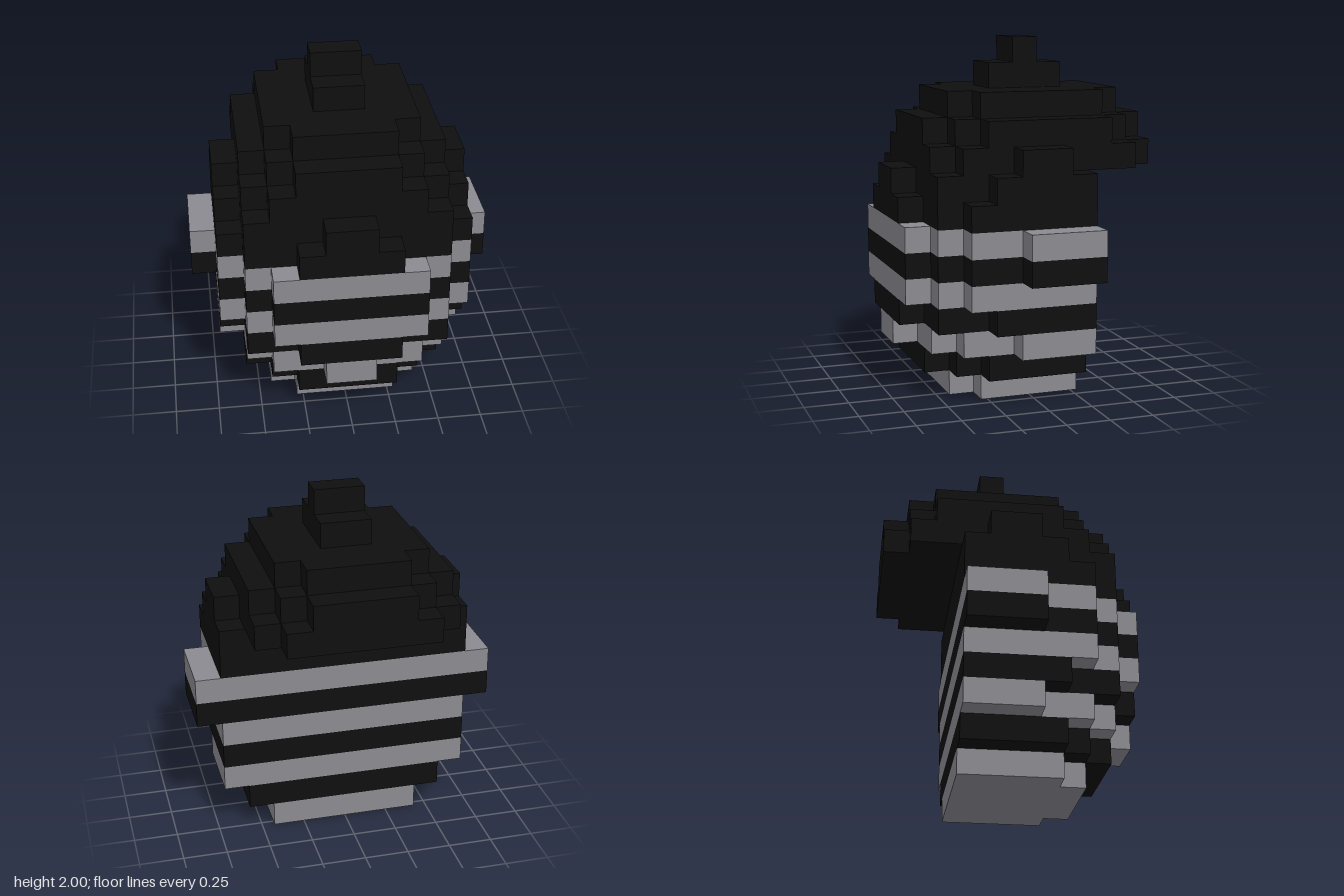
import * as THREE from 'three';

const U = 1 / 7; // edge of one block

const black = new THREE.MeshStandardMaterial({ color: 0x0f0f0f });
black.name = 'black';
const grey = new THREE.MeshStandardMaterial({ color: 0x8a8a90 });
grey.name = 'grey';

// One block-high slab. Steps are [halfWidth, z], widest first,
// going to the front (front) and to the back (back).
function slab(name, level, front, back, material) {
  const half = [];
  back.slice().reverse().forEach(([w, z], i, list) => {
    half.push([w, z]);
    if (i < list.length - 1) half.push([w, list[i + 1][1]]);
  });
  front.forEach(([w, z], i) => {
    if (i > 0) half.push([w, front[i - 1][1]]);
    half.push([w, z]);
  });
  const outline = [...half, ...half.slice().reverse().map(([w, z]) => [-w, z])];
  const shape = new THREE.Shape(outline.map(([x, z]) => new THREE.Vector2(x * U, z * U)));
  const geometry = new THREE.ExtrudeGeometry(shape, { depth: U, bevelEnabled: false });
  geometry.rotateX(Math.PI / 2);
  geometry.translate(0, (level + 1) * U, 0);
  const mesh = new THREE.Mesh(geometry, material);
  mesh.name = name;
  return mesh;
}

export function createModel() {
  const model = new THREE.Group();
  model.name = 'blockHelmet';

  // Striped lower body, flat at the back
  const wide = [[5, 3], [4, 4], [3, 5]];
  const body = [
    [[3, 2], [2, 3]],
    [[4, 2], [3, 3], [2, 4]],
    [[5, 1], [4, 3], [3, 4], [1, 5]],
    [[5, 2], [4, 4], [2, 5]],
    wide, wide, wide,
  ];
  body.forEach((front, i) => {
    model.add(slab('bodyStripe' + i, i, front, [[front[0][0], -2]], i % 2 ? black : grey));
  });

  // Black dome with an overhang at the back
  const dome = [
    [[[5, 3], [4, 4], [2, 5]], [[5, -2]]],
    [[[5, 2], [4, 4], [1, 5]], [[5, -2]]],
    [[[5, 1], [4, 3], [3, 4]], [[5, -1], [4, -4], [3, -5]]],
    [[[4, 2], [3, 3], [2, 4]], [[4, -3], [3, -4], [2, -5]]],
    [[[3, 2], [2, 3]], [[3, -3], [2, -4]]],
    [[[1, 1]], [[1, -2]]],
    [[[1, 0]], [[1, -1]]],
  ];
  dome.forEach(([front, back], i) => {
    model.add(slab(i < 5 ? 'domeLayer' + i : 'topKnob' + (i - 5), 7 + i, front, back, black));
  });

  // Side lugs, grey above black
  for (const side of [-1, 1]) {
    for (const [level, material] of [[5, black], [6, grey]]) {
      const lug = new THREE.Mesh(new THREE.BoxGeometry(U, U, 3 * U), material);
      lug.position.set(side * 5.5 * U, (level + 0.5) * U, -0.5 * U);
      lug.name = (side > 0 ? 'left' : 'right') + 'Lug' + (level === 6 ? 'Upper' : 'Lower');
      model.add(lug);
    }
  }
  return model;
}
